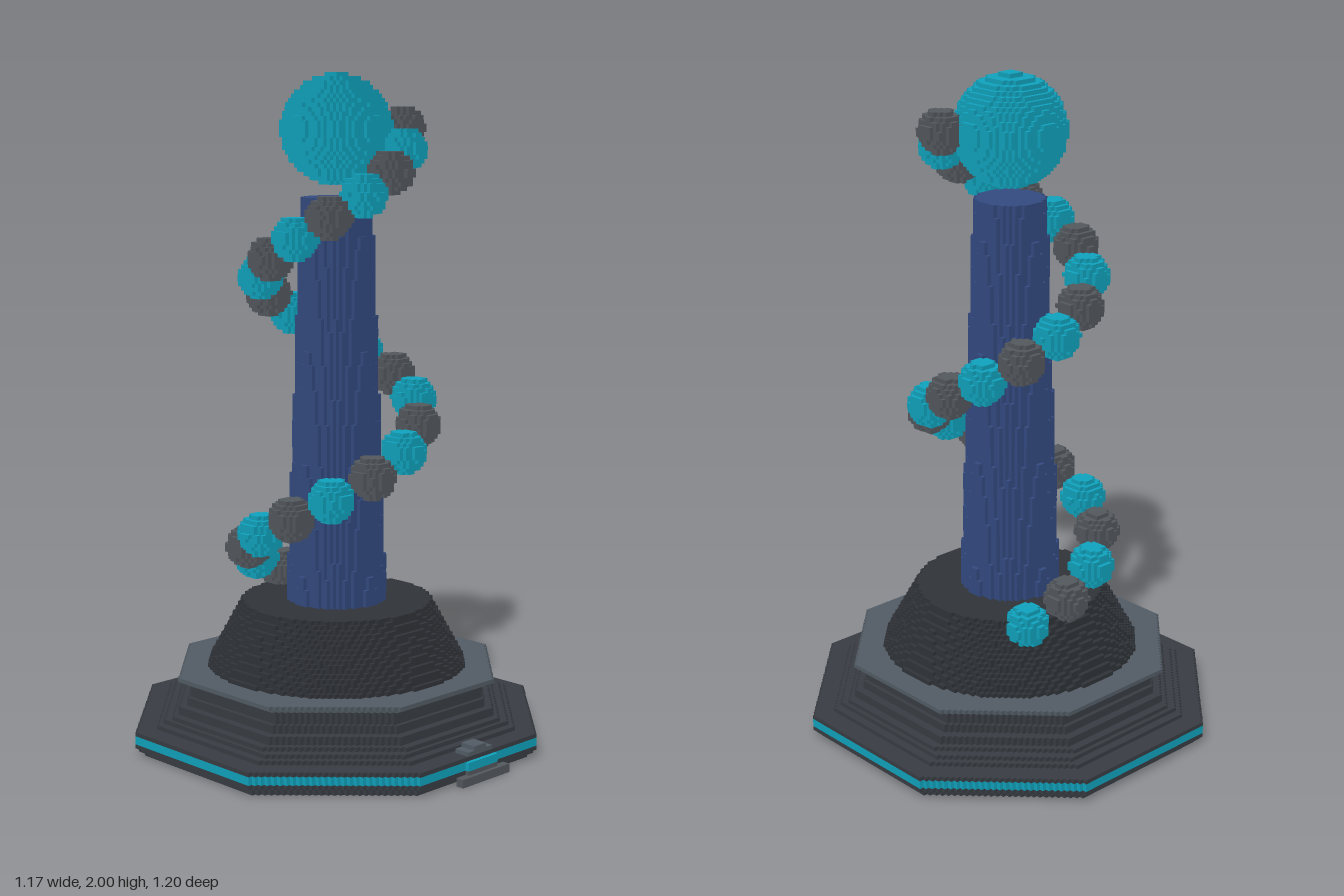
import * as THREE from 'three';

const S = 0.0125;              // voxel edge
const NX = 96, NY = 160, NZ = 96;

const mat = (name, color) => {
  const m = new THREE.MeshStandardMaterial({ color });
  m.name = name;
  return m;
};

// Beads of the spiral, from the top down
const BEADS = Array.from({ length: 24 }, (_, i) => {
  const a = THREE.MathUtils.degToRad(30 + 27.5 * i), r = 0.2 + 0.0033 * i;
  return [r * Math.cos(a), 1.84 - 0.0625 * i, r * Math.sin(a)];
});

// Octagonal base: [top height, half width] per step
const BASE_STEPS = [
  [0.0125, 0.5625], [0.025, 0.575], [0.075, 0.5875], [0.0875, 0.525], [0.1, 0.505],
  [0.1125, 0.485], [0.1375, 0.465], [0.1625, 0.44], [0.2, 0.425],
];

// Index 0 is empty space
const PARTS = ['', 'octagonBase', 'baseLightStrip', 'baseFlange', 'roundPlinth', 'column',
  'topSphere', 'darkSpiralBeads', 'brightSpiralBeads', 'frontStep', 'frontKnob', 'frontLight'];
const ID = Object.fromEntries(PARTS.map((p, i) => [p, i]));

function partAt(x, y, zWorld) {
  const z = zWorld + S;        // the tower's axis sits slightly behind the centre
  const ax = Math.abs(x), az = Math.abs(z);
  const oct = Math.max(ax, az, (ax + az) * Math.SQRT1_2);
  const rad = Math.hypot(x, z);

  // Step, light and knob at the front edge
  if (zWorld > 0.575 && y < 0.025 && ax < 0.1) return ID.frontStep;
  if (zWorld > 0.575 && zWorld < 0.5875 && y < 0.0625 && ax < 0.0625) {
    return y > 0.0375 ? ID.frontLight : ID.frontStep;
  }
  if (zWorld > 0.525 && zWorld < 0.575 && y > 0.075 && y < 0.1
    && ax < (y > 0.0875 ? 0.03 : 0.05)) return ID.frontKnob;

  // Base, flange and plinth
  if (y < 0.2) {
    const step = BASE_STEPS.find(([top]) => y < top);
    if (oct > step[1]) return 0;
    return y > 0.0375 && y < 0.0625 ? ID.baseLightStrip : ID.octagonBase;
  }
  if (y < 0.225) return oct < (y < 0.2125 ? 0.44 : 0.4625) ? ID.baseFlange : 0;
  if (y < 0.425 && rad < 0.39 - (y - 0.225) * 0.54) return ID.roundPlinth;

  // Tapered column and sphere
  if (y < 1.64 && rad < 0.147 - (y - 0.425) * 0.037) return ID.column;
  if (Math.hypot(x, y - 1.835, z) < 0.161) return ID.topSphere;

  // Spiral: each cell belongs to the nearest bead
  if (rad > 0.37) return 0;
  let best = 0.064, found = 0;
  BEADS.forEach(([bx, by, bz], i) => {
    const d = Math.hypot(x - bx, y - by, z - bz);
    if (d < best) {
      best = d;
      found = i % 2 ? ID.brightSpiralBeads : ID.darkSpiralBeads;
    }
  });
  return found;
}

export function createModel() {
  const dark = mat('charcoal', 0x383d43);
  const plinth = mat('dark grey', 0x303338);
  const slate = mat('slate', 0x525c65);
  const grey = mat('bead grey', 0x53585e);
  const cyan = mat('cyan', 0x10a2bd);
  const blue = mat('navy blue', 0x334a80);
  const materials = [null, dark, cyan, slate, plinth, blue, cyan, grey, cyan, grey, slate, cyan];

  // Fill the grid
  const dims = [NX, NY, NZ];
  const cells = new Uint8Array(NX * NY * NZ);
  for (let j = 0, n = 0; j < NY; j++)
    for (let k = 0; k < NZ; k++)
      for (let i = 0; i < NX; i++)
        cells[n++] = partAt((i + 0.5) * S - 0.6, (j + 0.5) * S, (k + 0.5) * S - 0.6);
  const get = (c) => c.some((v, a) => v < 0 || v >= dims[a])
    ? 0 : cells[(c[1] * NZ + c[2]) * NX + c[0]];

  // Skin every part: exposed faces, joined into strips
  const skins = PARTS.map(() => ({ pos: [], nor: [], idx: [] }));
  const addQuad = (id, d, u, v, sign, plane, u0, u1, v0) => {
    const { pos, nor, idx } = skins[id], base = pos.length / 3;
    for (const [cu, cv] of [[u0, v0], [u1, v0], [u1, v0 + 1], [u0, v0 + 1]]) {
      const p = [0, 0, 0], n = [0, 0, 0];
      p[d] = plane; p[u] = cu; p[v] = cv;
      n[d] = sign;
      pos.push(p[0] * S - 0.6, p[1] * S, p[2] * S - 0.6);
      nor.push(...n);
    }
    const order = sign > 0 ? [0, 1, 2, 0, 2, 3] : [0, 2, 1, 0, 3, 2];
    idx.push(...order.map((o) => base + o));
  };

  for (let d = 0; d < 3; d++) {
    // strips run along u; (d, u, v) is kept right-handed
    const u = (d + 1) % 3, v = (d + 2) % 3;
    for (const sign of [1, -1])
      for (let s = 0; s < dims[d]; s++)
        for (let b = 0; b < dims[v]; b++) {
          let run = 0, start = 0;
          for (let a = 0; a <= dims[u]; a++) {
            const c = [0, 0, 0];
            c[d] = s; c[u] = a; c[v] = b;
            let id = get(c);
            if (id) {
              c[d] += sign;
              if (get(c)) id = 0;
            }
            if (id !== run) {
              if (run) addQuad(run, d, u, v, sign, s + (sign > 0 ? 1 : 0), start, a, b);
              run = id;
              start = a;
            }
          }
        }
  }

  const group = new THREE.Group();
  group.name = 'spiralTower';
  skins.forEach(({ pos, nor, idx }, i) => {
    if (!idx.length) return;
    const g = new THREE.BufferGeometry();
    g.setAttribute('position', new THREE.Float32BufferAttribute(pos, 3));
    g.setAttribute('normal', new THREE.Float32BufferAttribute(nor, 3));
    g.setIndex(idx);
    const mesh = new THREE.Mesh(g, materials[i]);
    mesh.name = PARTS[i];
    group.add(mesh);
  });
  return group;
}
